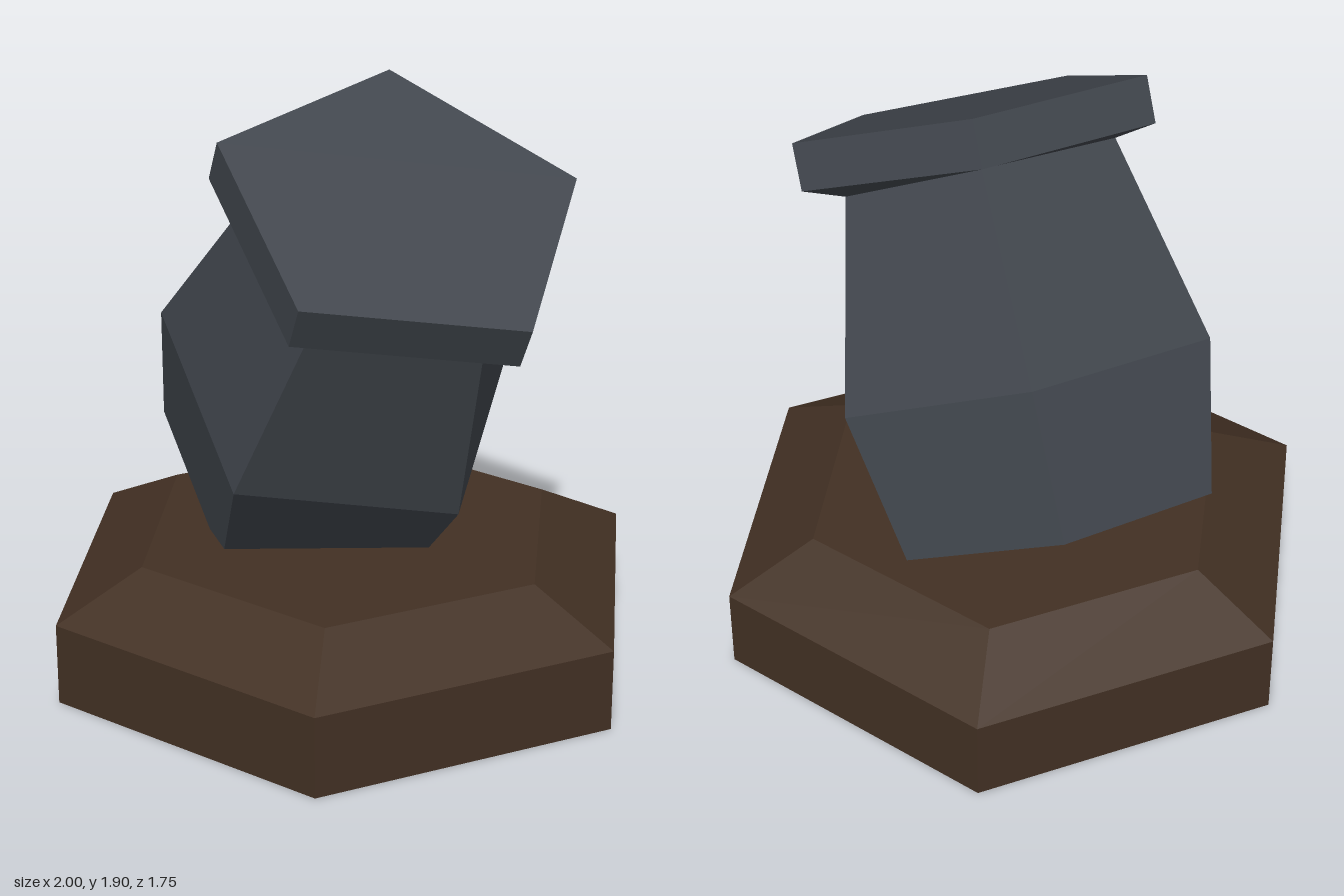
import * as THREE from 'three';

// Skin a stack of regular polygon rings, each tilted about x.
// ring: { r, y, z, tilt (degrees, leaning towards +z) }
function loft(sides, rings, capBottom, capTop) {
  const loops = rings.map(({ r, y, z, tilt = 0 }) => {
    const t = THREE.MathUtils.degToRad(tilt);
    return Array.from({ length: sides }, (_, i) => {
      const a = (i / sides) * Math.PI * 2;
      return new THREE.Vector3(r * Math.cos(a), 0, -r * Math.sin(a))
        .applyAxisAngle(new THREE.Vector3(1, 0, 0), t)
        .add(new THREE.Vector3(0, y, z));
    });
  });
  const pos = [];
  const tri = (...pts) => pts.forEach((p) => pos.push(p.x, p.y, p.z));
  for (let k = 0; k < loops.length - 1; k++) {
    const lo = loops[k], hi = loops[k + 1];
    for (let i = 0; i < sides; i++) {
      const j = (i + 1) % sides;
      tri(lo[i], lo[j], hi[j]);
      tri(lo[i], hi[j], hi[i]);
    }
  }
  const first = loops[0], last = loops[loops.length - 1];
  for (let i = 1; i < sides - 1; i++) {
    if (capBottom) tri(first[0], first[i + 1], first[i]);
    if (capTop) tri(last[0], last[i], last[i + 1]);
  }
  const geo = new THREE.BufferGeometry();
  geo.setAttribute('position', new THREE.Float32BufferAttribute(pos, 3));
  geo.computeVertexNormals();
  return geo;
}

export function createModel() {
  const iron = new THREE.MeshStandardMaterial({ name: 'dark iron', color: 0x41464d, flatShading: true });
  const wood = new THREE.MeshStandardMaterial({ name: 'dark wood', color: 0x423023, flatShading: true });
  const group = new THREE.Group();
  const add = (name, geo, mat) => {
    const mesh = new THREE.Mesh(geo, mat);
    mesh.name = name;
    group.add(mesh);
  };

  // Hexagonal base with a bevelled top
  add('base', loft(6, [
    { r: 1, y: 0, z: -0.01 },
    { r: 1, y: 0.27, z: -0.01 },
    { r: 0.71, y: 0.415, z: -0.01 },
  ], true, true), wood);

  // Bulging five-sided barrel leaning forward
  const neck = { r: 0.447, y: 1.465, z: 0.295, tilt: 33 };
  add('barrel', loft(5, [
    { r: 0.51, y: 0.51, z: -0.33, tilt: 33 },
    { r: 0.605, y: 0.915, z: -0.075, tilt: 33 },
    neck,
  ], true, false), iron);

  // Flared muzzle rim, tilted slightly less than the barrel
  add('muzzleRim', loft(5, [
    neck,
    { r: 0.58, y: 1.505, z: 0.316, tilt: 28.5 },
    { r: 0.58, y: 1.637, z: 0.387, tilt: 28.5 },
  ], false, true), iron);

  return group;
}
